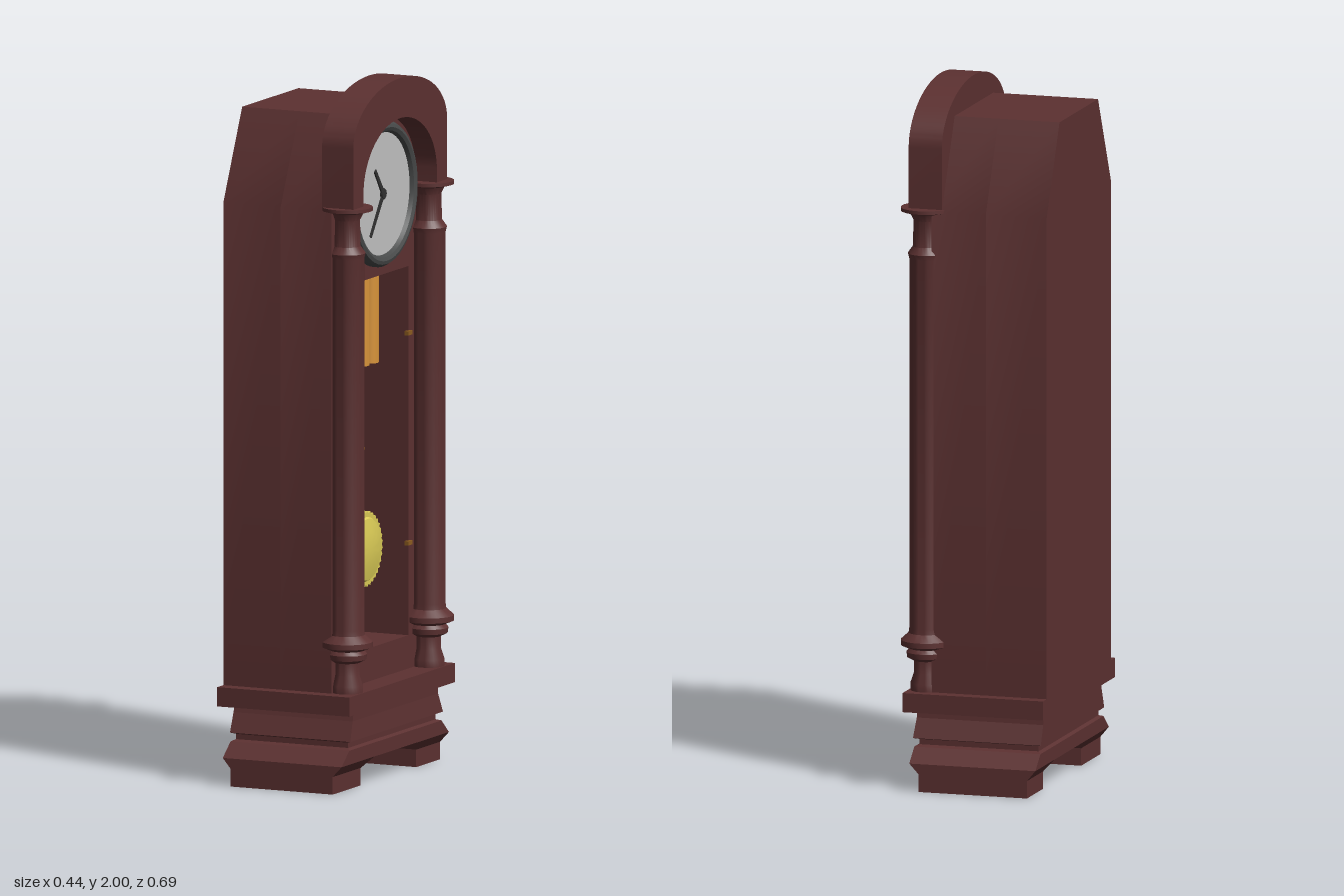
import * as THREE from 'three';
import { toCreasedNormals } from 'three/addons/utils/BufferGeometryUtils.js';

const mat = (name, color) => {
  const m = new THREE.MeshStandardMaterial({ color });
  m.name = name;
  return m;
};

export function createModel() {
  const wood = mat('dark wood', 0x5c3131);
  const yellow = mat('yellow brass', 0xdacb56);
  const orange = mat('orange brass', 0xd8943a);
  const hinge = mat('aged brass', 0x8c5c20);
  const grey = mat('bezel grey', 0x484a4a);
  const white = mat('dial grey', 0xc0c0c0);
  const black = mat('hand black', 0x303030);

  // Built facing +z, turned to face +x at the end
  const clock = new THREE.Group();
  clock.name = 'longcaseClock';

  const add = (name, geo, material, x = 0, y = 0, z = 0) => {
    const mesh = new THREE.Mesh(geo, material);
    mesh.name = name;
    mesh.position.set(x, y, z);
    clock.add(mesh);
    return mesh;
  };
  const crease = (geo, angle = 0.6) => toCreasedNormals(geo, angle);
  const extrude = (shape, depth, curveSegments = 32) =>
    crease(new THREE.ExtrudeGeometry(shape, { depth, bevelEnabled: false, curveSegments }));
  const lathe = (points, segments = 32) =>
    crease(new THREE.LatheGeometry(points.map(p => new THREE.Vector2(...p)), segments));

  // Stack of rectangles [y, x0, x1, z0, z1] joined from bottom to top
  const loft = levels => {
    const pos = [], idx = [];
    for (const [y, x0, x1, z0, z1] of levels) {
      pos.push(x0, y, z1, x1, y, z1, x1, y, z0, x0, y, z0);
    }
    const n = (levels.length - 1) * 4;
    for (let r = 0; r < n; r += 4) {
      for (let i = 0; i < 4; i++) {
        const j = (i + 1) % 4;
        idx.push(r + i, r + j, r + 4 + j, r + i, r + 4 + j, r + 4 + i);
      }
    }
    idx.push(0, 2, 1, 0, 3, 2, n, n + 1, n + 2, n, n + 2, n + 3);
    const g = new THREE.BufferGeometry();
    g.setAttribute('position', new THREE.Float32BufferAttribute(pos, 3));
    g.setIndex(idx);
    const flat = g.toNonIndexed();
    flat.computeVertexNormals();
    return flat;
  };

  // Case: chamfered outline with a door opening in the front half
  const caseShape = () => new THREE.Shape([
    [-0.3, 0.28], [0.3, 0.28], [0.3, 1.66], [0.18, 1.915], [-0.18, 1.915], [-0.3, 1.66],
  ].map(p => new THREE.Vector2(...p)));
  add('caseBack', extrude(caseShape(), 0.18), wood, 0, 0, -0.22);
  const front = caseShape();
  front.holes.push(new THREE.Path([
    [-0.175, 0.375], [-0.175, 1.43], [0.19, 1.43], [0.19, 0.375],
  ].map(p => new THREE.Vector2(...p))));
  add('caseFront', extrude(front, 0.16), wood, 0, 0, -0.04);

  // Arched hood over the dial
  const hood = new THREE.Shape();
  hood.moveTo(0.3, 1.66);
  hood.lineTo(0.3, 1.84);
  hood.absellipse(0, 1.84, 0.3, 0.16, 0, Math.PI, false);
  hood.lineTo(-0.3, 1.66);
  hood.lineTo(-0.235, 1.66);
  hood.lineTo(-0.235, 1.7);
  hood.absellipse(0, 1.7, 0.235, 0.185, Math.PI, 0, true);
  hood.lineTo(0.235, 1.66);
  add('hoodArch', extrude(hood, 0.098), wood, 0, 0, 0.09);

  // Turned columns
  const columnProfile = [
    [0, 0.28], [0.045, 0.28], [0.045, 0.3], [0.035, 0.33], [0.035, 0.365], [0.054, 0.375],
    [0.056, 0.39], [0.048, 0.4], [0.072, 0.41], [0.072, 0.425], [0.05, 0.445], [0.048, 0.46],
    [0.048, 1.52], [0.052, 1.535], [0.038, 1.555], [0.036, 1.63], [0.046, 1.65],
    [0.072, 1.657], [0.072, 1.667], [0, 1.667],
  ];
  for (const x of [-0.255, 0.265]) add('column', lathe(columnProfile), wood, x, 0, 0.147);

  // Stepped plinth and feet
  add('plinthSlab', loft([[0.225, -0.34, 0.335, -0.22, 0.195], [0.28, -0.34, 0.335, -0.22, 0.195]]), wood);
  add('plinthMoulding', loft([
    [0.08, -0.345, 0.342, -0.2, 0.173],
    [0.12, -0.295, 0.295, -0.2, 0.173],
    [0.125, -0.28, 0.28, -0.19, 0.162],
    [0.14, -0.28, 0.28, -0.19, 0.162],
    [0.145, -0.295, 0.298, -0.202, 0.176],
    [0.2, -0.272, 0.275, -0.202, 0.172],
    [0.225, -0.265, 0.272, -0.202, 0.172],
  ]), wood);
  add('rightFoot', loft([
    [0, -0.345, -0.165, -0.175, 0.145],
    [0.05, -0.345, -0.165, -0.175, 0.145],
    [0.08, -0.345, -0.135, -0.2, 0.173],
  ]), wood);
  add('leftFoot', loft([
    [0, 0.19, 0.342, -0.175, 0.145],
    [0.05, 0.19, 0.342, -0.175, 0.145],
    [0.08, 0.16, 0.342, -0.2, 0.173],
  ]), wood);

  // Dial with rounded bezel
  const dialY = 1.665;
  const bezel = lathe([
    [0.208, 0], [0.208, 0.015], [0.2, 0.027], [0.19, 0.03], [0.18, 0.025], [0.174, 0.012],
  ], 48).rotateX(Math.PI / 2);
  add('bezel', bezel, grey, 0, dialY, 0.118);
  add('dialFace', new THREE.CylinderGeometry(0.176, 0.176, 0.009, 48).rotateX(Math.PI / 2),
    white, 0, dialY, 0.127);

  // Hands, each a tapered pointer from the centre to a tip
  const hand = (name, dx, dy, w) => {
    const len = Math.hypot(dx, dy);
    const s = new THREE.Shape([
      [-w, -0.015], [w, -0.015], [w * 0.7, len], [-w * 0.7, len],
    ].map(p => new THREE.Vector2(...p)));
    add(name, extrude(s, 0.004), black, 0, dialY, 0.133).rotation.z = Math.atan2(-dx, dy);
  };
  hand('hourHand', -0.053, 0.073, 0.008);
  hand('minuteHand', -0.082, -0.112, 0.007);
  add('handPin', new THREE.CylinderGeometry(0.014, 0.014, 0.008, 16).rotateX(Math.PI / 2),
    black, 0, dialY, 0.135);

  // Weights and pendulum
  for (const x of [-0.057, 0, 0.06]) {
    add('weight', crease(new THREE.CylinderGeometry(0.028, 0.028, 0.26, 24)), orange, x, 1.3, 0.06);
  }
  add('pendulumRod', crease(new THREE.CylinderGeometry(0.041, 0.041, 0.75, 24)), yellow, 0, 1.055, 0.03);
  const rim = new THREE.Shape();
  for (let i = 0; i < 72; i++) {
    const a = i / 72 * Math.PI * 2, r = i % 2 ? 0.109 : 0.102;
    rim[i ? 'lineTo' : 'moveTo'](Math.cos(a) * r, Math.sin(a) * r);
  }
  add('bobRim', extrude(rim, 0.03), yellow, 0, 0.645, 0.05);
  add('bobDome', lathe([[0.092, 0], [0.088, 0.006], [0.05, 0.014], [0, 0.018]], 36)
    .rotateX(Math.PI / 2), yellow, 0, 0.645, 0.08);

  // Door fittings
  add('doorHandle', new THREE.BoxGeometry(0.045, 0.035, 0.012), hinge, -0.138, 0.957, 0.124);
  add('doorHandleKnob', new THREE.SphereGeometry(0.012, 12, 8), hinge, -0.138, 0.957, 0.132);
  for (const y of [0.64, 1.24]) {
    add('doorHinge', new THREE.BoxGeometry(0.026, 0.012, 0.012), hinge, 0.187, y, 0.122);
  }

  clock.rotation.y = Math.PI / 2;
  const model = new THREE.Group();
  model.name = 'clockModel';
  model.add(clock);
  return model;
}
